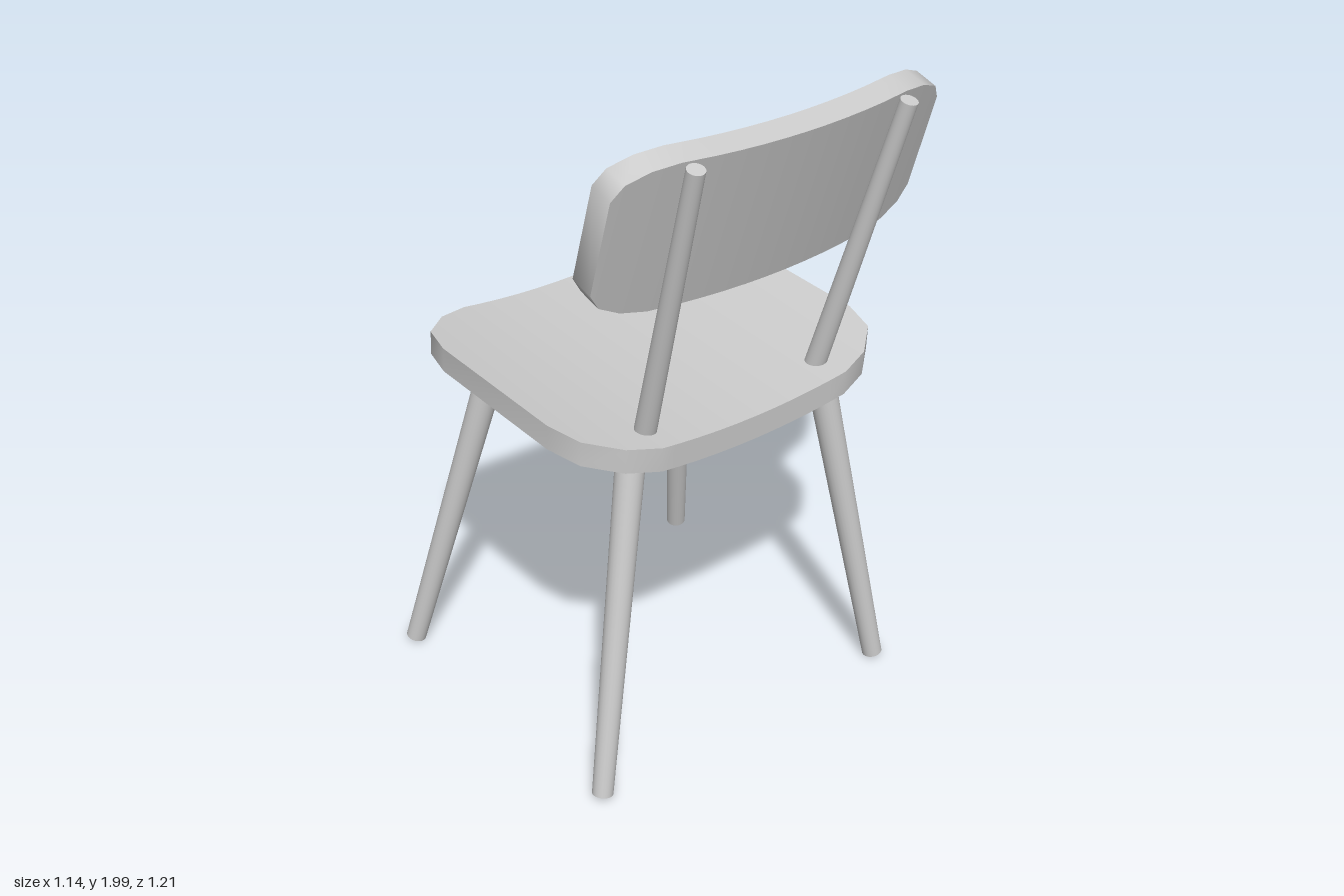
import * as THREE from 'three';
import { toCreasedNormals } from 'three/addons/utils/BufferGeometryUtils.js';

const HALF = 0.555, DISH = 0.062, THICK = 0.075;
const material = new THREE.MeshStandardMaterial({ color: 0xcccccc });

// Board with rounded corners, curving up towards its two ends.
// corner: [x, inset] points from the straight edge out to the end.
function boardGeometry(length, corner) {
  const half = [0.07, 0.14, 0.21, 0.28].map((x) => [x, 0]).concat(corner);
  const stations = [...half.map(([x, d]) => [-x, d]).reverse(), [0, 0], ...half];
  const sections = stations.map(([x, inset]) => {
    const y = DISH * (x / HALF) ** 2, z = length / 2 - inset;
    return [[x, y, -z], [x, y, z], [x, y + THICK, z], [x, y + THICK, -z]];
  });
  const pos = [];
  const quad = (a, b, c, d) => pos.push(...a, ...b, ...c, ...a, ...c, ...d);
  for (let i = 0; i < sections.length - 1; i++) {
    const s = sections[i], t = sections[i + 1];
    for (let j = 0; j < 4; j++) {
      const k = (j + 1) % 4;
      quad(s[j], t[j], t[k], s[k]);
    }
  }
  quad(...sections[0]);
  quad(...sections[sections.length - 1].slice().reverse());
  const geo = new THREE.BufferGeometry();
  geo.setAttribute('position', new THREE.Float32BufferAttribute(pos, 3));
  return toCreasedNormals(geo, 0.7);
}

function board(name, length, corner, y, z, tilt) {
  const mesh = new THREE.Mesh(boardGeometry(length, corner), material);
  mesh.name = name;
  mesh.position.set(0, y, z);
  mesh.rotation.x = tilt;
  return mesh;
}

// Tapered round rod between two points
function rod(name, from, to, rFrom, rTo) {
  const a = new THREE.Vector3(...from), b = new THREE.Vector3(...to);
  const dir = b.clone().sub(a);
  const mesh = new THREE.Mesh(new THREE.CylinderGeometry(rTo, rFrom, dir.length(), 24), material);
  mesh.name = name;
  mesh.position.copy(a).add(b).multiplyScalar(0.5);
  mesh.quaternion.setFromUnitVectors(new THREE.Vector3(0, 1, 0), dir.normalize());
  return mesh;
}

export function createModel() {
  const chair = new THREE.Group();
  chair.name = 'chair';

  chair.add(board('seat', 0.935,
    [[0.335, 0], [0.435, 0.032], [0.525, 0.11], [HALF, 0.22]], 1.025, -0.0425, 0.054));
  chair.add(board('backrest', 0.475,
    [[0.38, 0], [0.46, 0.013], [0.525, 0.043], [HALF, 0.09]], 1.735, 0.516, -1.276));

  // Splayed legs and leaning back posts, mirrored left and right
  for (const [side, s] of [['left', 1], ['right', -1]]) {
    chair.add(rod(side + 'FrontLeg', [s * 0.538, 0.007, -0.572], [s * 0.345, 1.08, -0.325], 0.031, 0.043));
    chair.add(rod(side + 'BackLeg', [s * 0.538, 0.006, 0.406], [s * 0.345, 1.055, 0.308], 0.031, 0.043));
    chair.add(rod(side + 'BackPost', [s * 0.311, 1.05, 0.313], [s * 0.36, 1.957, 0.585], 0.032, 0.025));
  }
  return chair;
}
